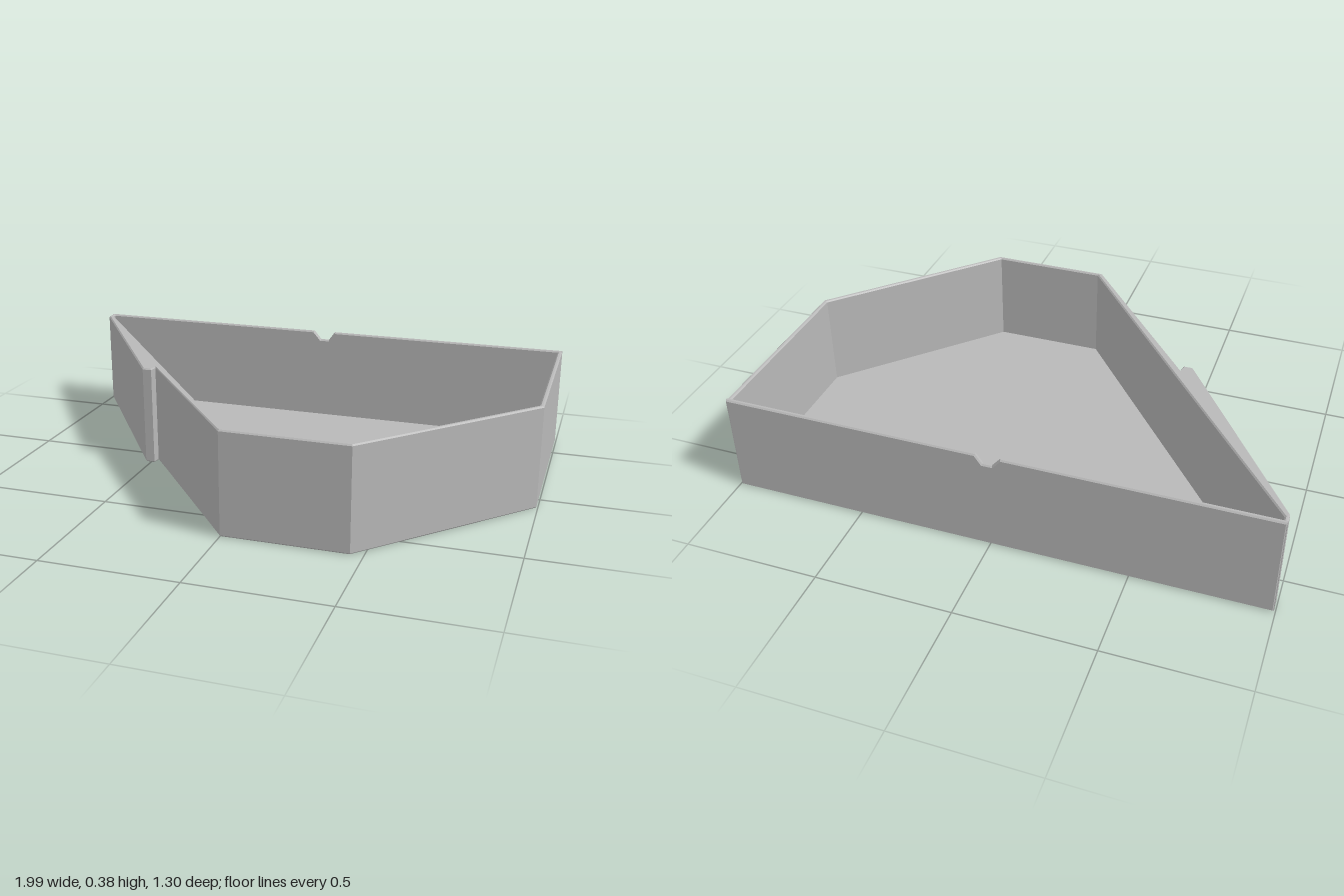
import * as THREE from 'three';

const H = 0.385;      // wall height
const FLOOR = 0.015;  // floor thickness
const B = 0.005;      // edge chamfer

// Outer corners [x, z], from the back left corner round the front to the back right corner
const outer = [
  [0.995, -0.65], [0.995, 0.08], [0.455, 0.65], [0, 0.65],
  [-0.48, 0.06], [-0.485, 0.09], [-0.52, 0.09], [-0.995, -0.605], [-0.995, -0.65],
];
// Cavity corners, running back the other way
const inner = [
  [-0.98, -0.65], [-0.98, -0.62], [0.015, 0.635], [0.445, 0.635], [0.978, 0.072], [0.978, -0.65],
];

// Extrude a polygon with chamfers that stay inside its outline
function slab(points, depth) {
  const shape = new THREE.Shape(points.map(([x, y]) => new THREE.Vector2(x, y)));
  const g = new THREE.ExtrudeGeometry(shape, {
    depth: depth - 2 * B, bevelEnabled: true, bevelSegments: 1,
    bevelSize: B, bevelThickness: B, bevelOffset: -B,
  });
  return g.translate(0, 0, B);
}

// Extrude a plan polygon upwards from the ground
const plan = (points, height) => slab(points.map(([x, z]) => [x, -z]), height).rotateX(-Math.PI / 2);

export function createModel() {
  const group = new THREE.Group();
  const grey = new THREE.MeshStandardMaterial({ color: 0xb8b8b8, flatShading: true });
  grey.name = 'grey';

  const add = (name, geometry) => {
    const mesh = new THREE.Mesh(geometry, grey);
    mesh.name = name;
    group.add(mesh);
    return mesh;
  };

  add('floor', plan(outer, FLOOR));

  // Side and front walls, with the thick wedge and its stepped edge on the right
  add('sideWalls', plan([...outer, ...inner], H));

  // Back wall with a small dip in the middle of its top edge
  const back = slab([
    [-0.995, 0], [0.995, 0], [0.995, H], [0.045, H], [0.02, H - 0.035],
    [-0.015, H - 0.035], [-0.045, H], [-0.995, H],
  ], 0.018);
  add('backWall', back).position.z = -0.653;

  return group;
}
